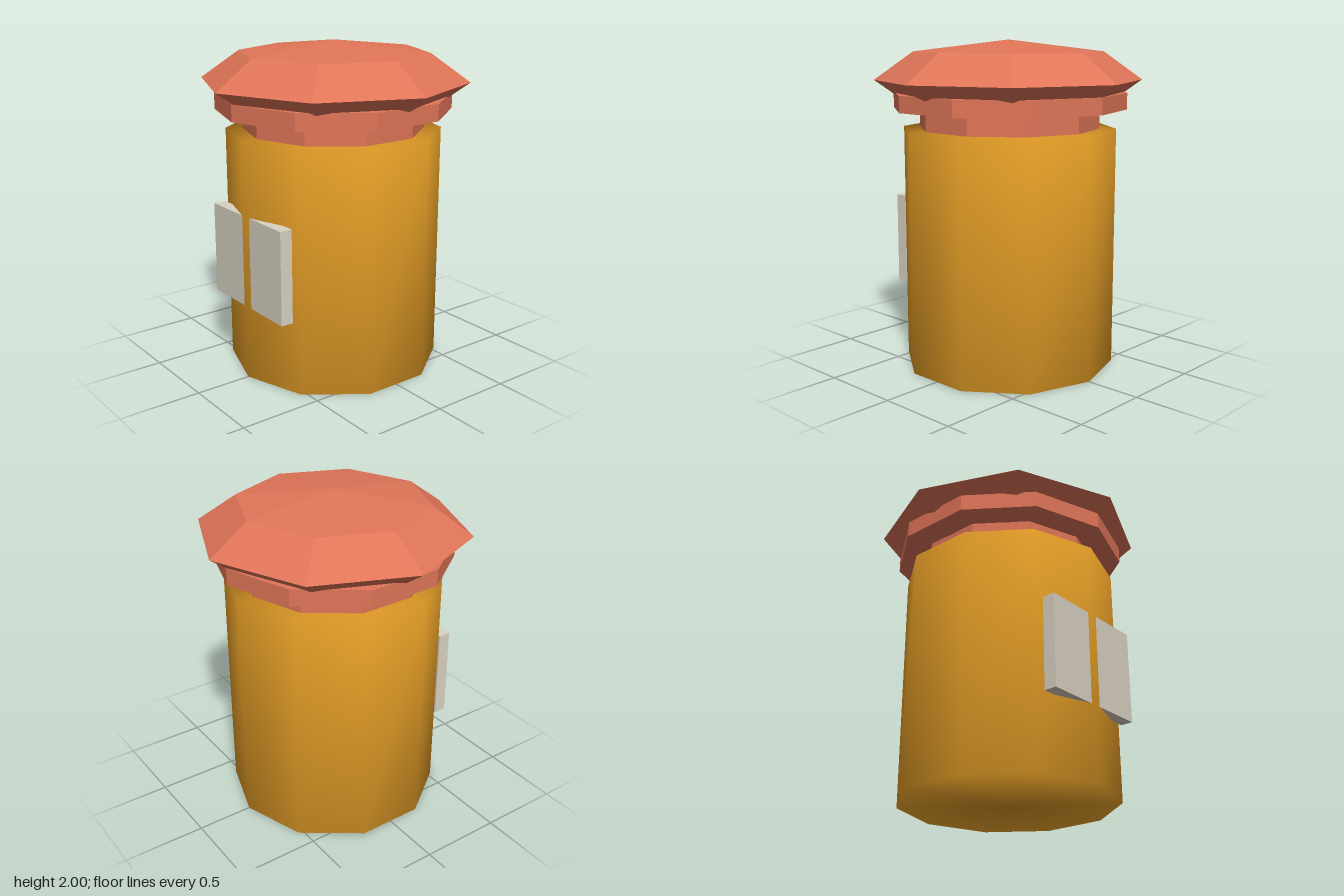
import * as THREE from 'three';
import { mergeVertices } from 'three/addons/utils/BufferGeometryUtils.js';

export function createModel() {
  const model = new THREE.Group();
  model.name = 'lanternTower';

  const material = (name, color, flat) => {
    const m = new THREE.MeshStandardMaterial({ color });
    m.name = name;
    m.flatShading = flat;
    return m;
  };
  const amber = material('amber', 0xe29c26, false);
  const terracotta = material('terracotta', 0xe07558, true);
  const paleStone = material('pale stone', 0xdad3c3, true);

  const add = (name, geometry, mat, x, y, z) => {
    const mesh = new THREE.Mesh(geometry, mat);
    mesh.name = name;
    mesh.position.set(x, y, z);
    model.add(mesh);
    return mesh;
  };

  // Ten-sided body, with normals smoothed over the rim and caps
  let bodyGeometry = new THREE.CylinderGeometry(0.655, 0.655, 1.47, 10);
  bodyGeometry.deleteAttribute('normal');
  bodyGeometry.deleteAttribute('uv');
  bodyGeometry = mergeVertices(bodyGeometry);
  bodyGeometry.computeVertexNormals();
  add('body', bodyGeometry, amber, 0, 0.735, 0);

  // Stepped collars under the roof
  add('lowerCollar', new THREE.CylinderGeometry(0.553, 0.553, 0.12, 10), terracotta, 0, 1.53, 0);
  add('upperCollar', new THREE.CylinderGeometry(0.717, 0.717, 0.1, 10), terracotta, 0, 1.637, 0);

  // Squashed eight-sided roof
  const roof = add('roof', new THREE.SphereGeometry(0.815, 8, 4), terracotta, 0, 1.76, 0);
  roof.scale.y = 0.24 / 0.815;

  // Pair of front panels
  for (const [name, side] of [['leftPanel', 1], ['rightPanel', -1]]) {
    add(name, new THREE.BoxGeometry(0.322, 0.565, 0.077), paleStone, side * 0.197, 0.738, 0.6045);
  }

  return model;
}
